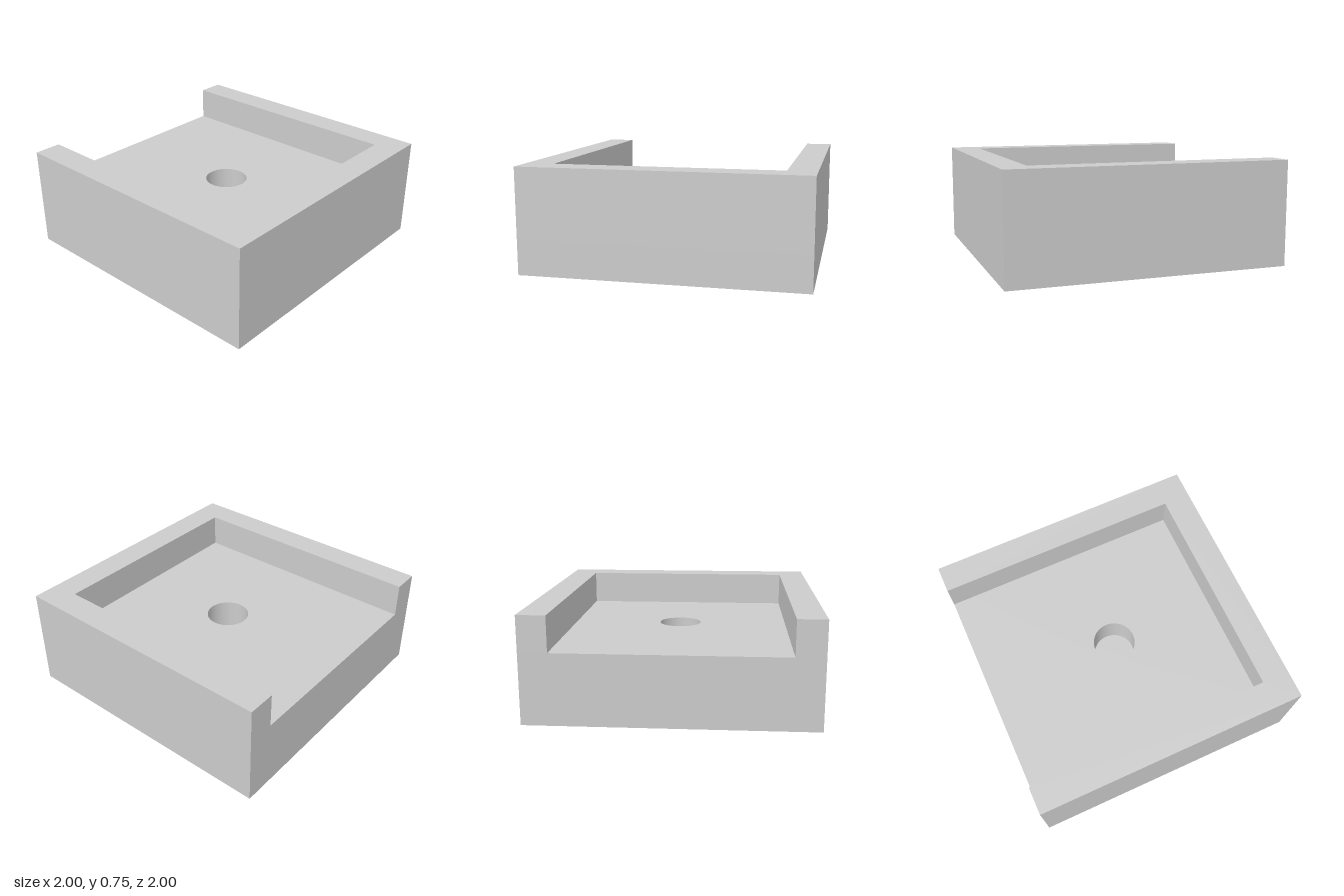
import * as THREE from 'three';

const HALF = 1, INNER = 0.8, HOLE_RADIUS = 0.155;
const HOLE_FLOOR = 0.25, TRAY_FLOOR = 0.5, TOP = 0.75;

const outline = (points) => new THREE.Shape(points.map(([x, y]) => new THREE.Vector2(x, y)));

export function createModel() {
  const group = new THREE.Group();
  group.name = 'openTrayBlock';
  const material = new THREE.MeshStandardMaterial({ color: 0xcccccc });

  // Raises a plan outline (its y points to the back) from one height to another
  function addLayer(name, shape, bottom, top) {
    const geometry = new THREE.ExtrudeGeometry(shape, {
      depth: top - bottom, bevelEnabled: false, curveSegments: 64,
    });
    geometry.rotateX(-Math.PI / 2);
    geometry.translate(0, bottom, 0);
    const mesh = new THREE.Mesh(geometry, material);
    mesh.name = name;
    group.add(mesh);
  }

  const square = () => outline([[-HALF, -HALF], [HALF, -HALF], [HALF, HALF], [-HALF, HALF]]);

  // Solid base that closes the hole from below
  addLayer('base', square(), 0, HOLE_FLOOR);

  // Tray floor with the round blind hole in its middle
  const floor = square();
  floor.holes.push(new THREE.Path().absarc(0, 0, HOLE_RADIUS, 0, Math.PI * 2, true));
  addLayer('trayFloor', floor, HOLE_FLOOR, TRAY_FLOOR);

  // Rim on the front and both sides, open at the back
  addLayer('rim', outline([
    [-HALF, -HALF], [HALF, -HALF], [HALF, HALF], [INNER, HALF],
    [INNER, -INNER], [-INNER, -INNER], [-INNER, HALF], [-HALF, HALF],
  ]), TRAY_FLOOR, TOP);

  return group;
}
